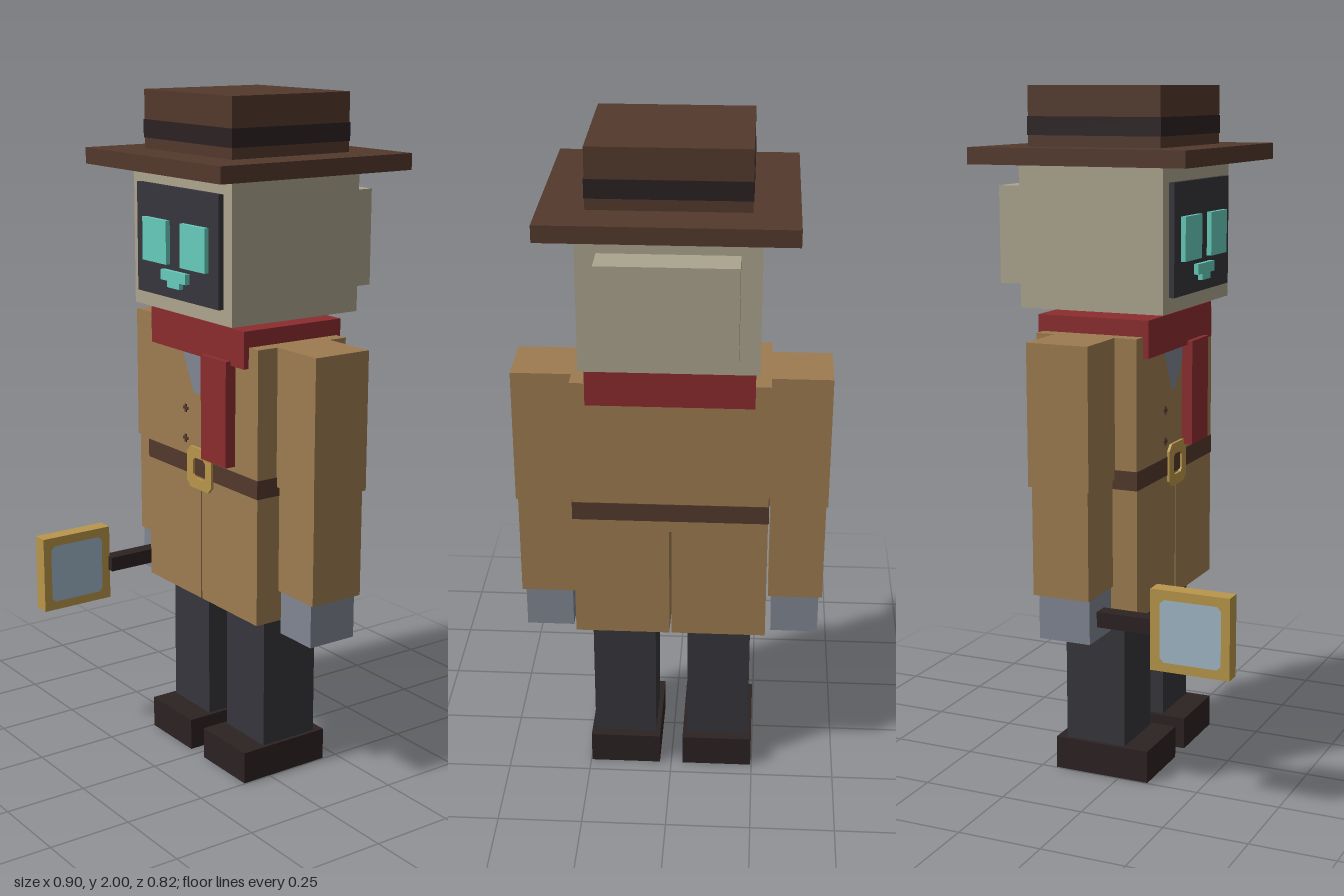
import * as THREE from 'three';

const mat = (name, color) => Object.assign(new THREE.MeshStandardMaterial({ color }), { name });

export function createModel() {
  const M = {
    coat: mat('tan coat', 0x9d7b50),
    brown: mat('brown felt', 0x53392c),
    black: mat('near black leather', 0x2c2222),
    red: mat('red wool', 0x8c2c2e),
    cream: mat('cream casing', 0xaca48e),
    dark: mat('dark cloth', 0x36353c),
    teal: mat('teal glow', 0x66cbbb),
    gold: mat('gold', 0xb8964a),
    grey: mat('grey metal', 0x808692),
    glass: mat('pale blue glass', 0x9fb6c6),
  };
  const root = new THREE.Group();
  const group = (name, parent = root) => {
    const g = new THREE.Group();
    g.name = name;
    parent.add(g);
    return g;
  };
  const add = (parent, name, geo, m) => {
    const mesh = new THREE.Mesh(geo, m);
    mesh.name = name;
    parent.add(mesh);
    return mesh;
  };
  // Box given by its limits on each axis
  const box = (parent, name, m, [x0, x1], [y0, y1], [z0, z1]) => {
    const mesh = add(parent, name, new THREE.BoxGeometry(x1 - x0, y1 - y0, z1 - z0), m);
    mesh.position.set((x0 + x1) / 2, (y0 + y1) / 2, (z0 + z1) / 2);
    return mesh;
  };
  // Limits mirrored to side s
  const side = (s, a, b) => (s > 0 ? [a, b] : [-b, -a]);
  // Rectangle outline with cut corners
  const cut = (C, w, h, c) => new C([
    [-w, c - h], [c - w, -h], [w - c, -h], [w, c - h],
    [w, h - c], [w - c, h], [c - w, h], [-w, h - c],
  ].map(([x, y]) => new THREE.Vector2(x, y)));

  // Hat
  const hat = group('hat');
  box(hat, 'brim', M.brown, [-0.343, 0.343], [1.785, 1.832], [-0.41, 0.245]);
  box(hat, 'crown', M.brown, [-0.218, 0.218], [1.832, 2], [-0.284, 0.12]);
  box(hat, 'hatBand', M.black, [-0.22, 0.22], [1.863, 1.915], [-0.286, 0.122]);

  // Head with screen face
  const head = group('head');
  box(head, 'casing', M.cream, [-0.247, 0.247], [1.38, 1.785], [-0.3, 0.14]);
  box(head, 'rearHousing', M.cream, [-0.19, 0.19], [1.44, 1.72], [-0.395, -0.3]);
  box(head, 'screen', M.dark, [-0.206, 0.206], [1.424, 1.74], [0.14, 0.156]);
  for (const s of [1, -1]) box(head, 'eye', M.teal, side(s, 0.035, 0.158), [1.52, 1.645], [0.156, 0.17]);
  box(head, 'mouth', M.teal, [-0.063, 0.063], [1.475, 1.505], [0.156, 0.17]);
  box(head, 'lowerLip', M.teal, [-0.031, 0.031], [1.457, 1.475], [0.156, 0.17]);
  box(head, 'neck', M.grey, [-0.063, 0.063], [1.3, 1.38], [-0.14, -0.015]);

  // Scarf
  const scarf = group('scarf');
  box(scarf, 'scarfWrap', M.red, [-0.236, 0.236], [1.255, 1.362], [-0.25, 0.092]);
  box(scarf, 'scarfTail', M.red, [0.047, 0.172], [0.957, 1.267], [0.07, 0.108]);

  // Coat: bodice and split skirt
  const coat = group('coat');
  box(coat, 'bodice', M.coat, [-0.28, 0.28], [0.85, 1.315], [-0.235, 0.075]);
  for (const s of [1, -1]) box(coat, 'skirt', M.coat, side(s, 0.003, 0.28), [0.505, 0.85], [-0.235, 0.075]);
  box(coat, 'belt', M.brown, [-0.282, 0.282], [0.885, 0.94], [-0.237, 0.077]);
  const ring = cut(THREE.Shape, 0.063, 0.063, 0.018);
  ring.holes.push(cut(THREE.Path, 0.031, 0.031, 0.01));
  add(coat, 'buckle', new THREE.ExtrudeGeometry(ring, { depth: 0.008, bevelEnabled: false }), M.gold)
    .position.set(0, 0.91, 0.075);
  const vee = new THREE.Shape([[-0.095, 1.26], [-0.035, 1.135], [-0.005, 1.135], [0.05, 1.22], [0.05, 1.26]]
    .map(([x, y]) => new THREE.Vector2(x, y)));
  add(coat, 'shirtFront', new THREE.ShapeGeometry(vee), M.grey).position.z = 0.077;
  for (const y of [1.08, 0.988]) {
    box(coat, 'button', M.brown, [-0.091, -0.067], [y - 0.004, y + 0.004], [0.075, 0.078]);
    box(coat, 'button', M.brown, [-0.083, -0.075], [y - 0.012, y + 0.012], [0.075, 0.078]);
  }

  // Arms and legs
  for (const s of [1, -1]) {
    const arm = group(s > 0 ? 'leftArm' : 'rightArm');
    box(arm, 'upperArm', M.coat, side(s, 0.28, 0.452), [0.912, 1.315], [-0.177, 0.008]);
    box(arm, 'forearm', M.coat, side(s, 0.287, 0.447), [0.6, 0.912], [-0.168, 0.003]);
    box(arm, 'hand', M.grey, side(s, 0.297, 0.437), [0.472, 0.6], [-0.155, 0.001]);
    const leg = group(s > 0 ? 'leftLeg' : 'rightLeg');
    box(leg, 'trouserLeg', M.dark, side(s, 0.048, 0.236), [0.097, 0.53], [-0.172, 0.015]);
    box(leg, 'shoe', M.black, side(s, 0.035, 0.247), [0, 0.097], [-0.203, 0.092]);
  }

  // Magnifying glass in the right hand
  const lens = group('magnifyingGlass');
  box(lens, 'handle', M.black, [-0.391, -0.345], [0.51, 0.555], [-0.05, 0.18]);
  box(lens, 'frame', M.gold, [-0.415, -0.367], [0.418, 0.652], [0.175, 0.409]);
  for (const s of [1, -1]) {
    const pane = add(lens, 'pane', new THREE.ShapeGeometry(cut(THREE.Shape, 0.09, 0.09, 0.012)), M.glass);
    pane.rotation.y = s * Math.PI / 2;
    pane.position.set(-0.391 + s * 0.026, 0.535, 0.294);
  }
  return root;
}
